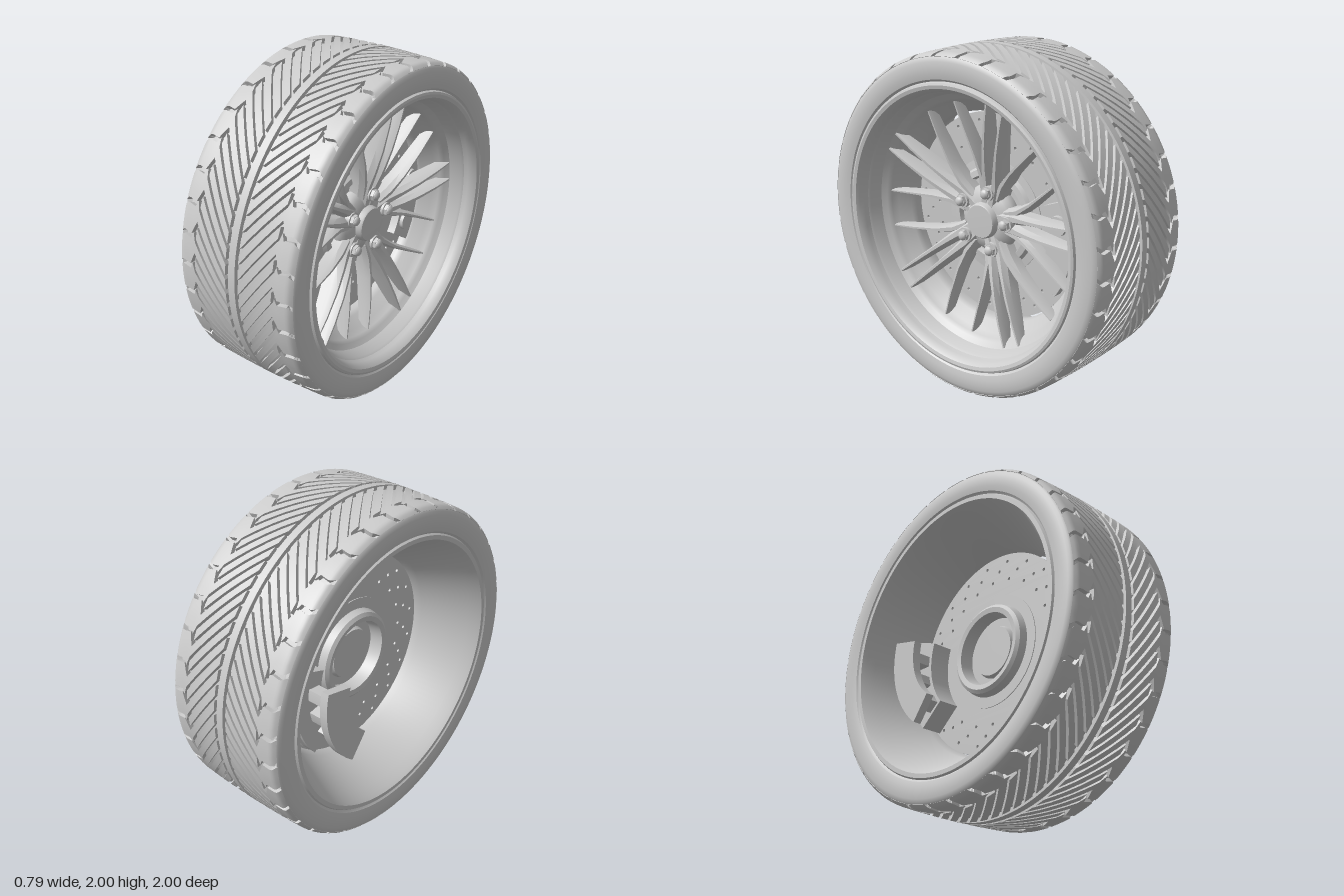
import * as THREE from 'three';
import { mergeGeometries, toCreasedNormals } from 'three/addons/utils/BufferGeometryUtils.js';

const grey = new THREE.MeshStandardMaterial({ color: 0xcccccc, side: THREE.DoubleSide });
const rad = THREE.MathUtils.degToRad;

function part(name, geometry, parent, crease = 0.55) {
  const mesh = new THREE.Mesh(toCreasedNormals(geometry, crease), grey);
  mesh.name = name;
  parent.add(mesh);
  return mesh;
}

// Revolve [radius, x] points around the wheel axis (x)
function revolve(points, segments = 96) {
  const g = new THREE.LatheGeometry(points.map(([r, x]) => new THREE.Vector2(r, x)), segments);
  return g.rotateZ(-Math.PI / 2);
}

// Solid skin through closed rings of equal length, capped at both ends
function loft(rings, flip = false) {
  const pos = [], n = rings[0].length;
  const tri = (a, b, c) => pos.push(...a, ...(flip ? c : b), ...(flip ? b : c));
  for (let i = 0; i < rings.length - 1; i++) {
    for (let j = 0; j < n; j++) {
      const k = (j + 1) % n, p = rings[i], q = rings[i + 1];
      tri(p[j], q[j], q[k]);
      tri(p[j], q[k], p[k]);
    }
  }
  const first = rings[0], last = rings[rings.length - 1];
  for (let j = 1; j < n - 1; j++) {
    tri(first[0], first[j], first[j + 1]);
    tri(last[0], last[j + 1], last[j]);
  }
  const g = new THREE.BufferGeometry();
  g.setAttribute('position', new THREE.Float32BufferAttribute(pos, 3));
  g.computeVertexNormals();
  return g;
}

// Ring sector between two radii and two angles, extruded along x
function sector(r0, r1, a0, a1, x0, x1) {
  const s = new THREE.Shape();
  s.absarc(0, 0, r1, rad(a0), rad(a1), false);
  s.absarc(0, 0, r0, rad(a1), rad(a0), true);
  const g = new THREE.ExtrudeGeometry(s, { depth: x1 - x0, bevelEnabled: false, curveSegments: 20 });
  return g.rotateY(Math.PI / 2).translate(x0, 0, 0);
}

// Tyre cross-section: distance t from the centre line and depth below the tread give [radius, x]
function treadPoint(t, depth) {
  if (t <= 0.34) return [1 - 0.01 * (t / 0.34) ** 2 - depth, t];
  const a = (t - 0.34) / 0.05, r = 0.05 - depth;
  return [0.94 + r * Math.cos(a), 0.34 + r * Math.sin(a)];
}

const DEPTH = 0.028, BLOCKS = 36, PITCH = (Math.PI * 2) / BLOCKS, GAP = 0.027;

// Sweep of a groove around the tyre: diagonal, jog back, then out over the shoulder
function grooveSweep(t) {
  const path = [[0.04, 0], [0.265, 0.31], [0.295, 0.24], [0.35, 0.25], [0.4, 0.215]];
  for (let i = 1; i < path.length; i++) {
    const [t0, s0] = path[i - 1], [t1, s1] = path[i];
    if (t <= t1 || i === path.length - 1) return s0 + ((s1 - s0) * (t - t0)) / (t1 - t0);
  }
}

function treadBlock(stations, low, high, angle, side) {
  const rings = stations.map((t) => {
    const lo = grooveSweep(t) + low(t), hi = grooveSweep(t) + high(t);
    return [[0, 1], [0, 0], [0.33, 0], [0.67, 0], [1, 0], [1, 1]].map(([f, d]) => {
      const [r, x] = treadPoint(t, d * (DEPTH + 0.004));
      const a = angle - (lo + (hi - lo) * f);
      return [side * x, r * Math.cos(a), r * Math.sin(a)];
    });
  });
  return loft(rings, side < 0);
}

function buildTyre(parent) {
  const half = [];
  for (const t of [0.001, 0.1, 0.2, 0.3, 0.34, 0.36, 0.37]) half.push(treadPoint(t, DEPTH));
  half.push([0.968, 0.378], [0.958, 0.386], [0.94, 0.391], [0.91, 0.394], [0.875, 0.393], [0.845, 0.386], [0.83, 0.37], [0.79, 0.35]);
  const mirrored = half.map(([r, x]) => [r, -x]).reverse();
  part('tyreCarcass', revolve([...mirrored, ...half], 144), parent);
  part('tyreCentreRib', revolve([[0.96, -0.022], [1, -0.022], [1, 0.022], [0.96, 0.022]], 144), parent);

  const long = [0.042, 0.1, 0.16, 0.22, 0.265, 0.28, 0.295, 0.34, 0.355, 0.37, 0.388];
  const short = [0.042, 0.1, 0.16, 0.22, 0.26];
  for (const side of [1, -1]) {
    const blocks = [];
    for (let i = 0; i < BLOCKS; i++) {
      const a = i * PITCH;
      blocks.push(treadBlock(long, () => 0, (t) => (t < 0.27 ? PITCH / 2 : PITCH) - GAP, a, side));
      blocks.push(treadBlock(short, () => PITCH / 2, () => PITCH - GAP, a, side));
    }
    part(side > 0 ? 'outerTreadBlocks' : 'innerTreadBlocks', mergeGeometries(blocks), parent, 0.4);
  }
}

// Tapered bar through [y, z, halfWidth, front, back] stations
function spoke(stations) {
  const a = stations[0], b = stations[stations.length - 1];
  const len = Math.hypot(b[0] - a[0], b[1] - a[1]);
  const py = -(b[1] - a[1]) / len, pz = (b[0] - a[0]) / len;
  return loft(stations.map(([y, z, w, front, back]) => {
    const mid = front - (front - back) * 0.35;
    return [[-1, back], [-1, mid], [-0.4, front], [0.4, front], [1, mid], [1, back]]
      .map(([k, x]) => [x, y + py * w * k, z + pz * w * k]);
  }), true);
}

function buildRim(parent) {
  part('rimBarrel', revolve([
    [0.8, -0.385], [0.825, -0.385], [0.835, -0.37], [0.79, -0.34], [0.7, 0], [0.76, 0.3], [0.79, 0.345],
    [0.835, 0.37], [0.828, 0.388], [0.815, 0.393], [0.795, 0.388], [0.782, 0.37], [0.772, 0.34], [0.762, 0.26],
    [0.745, 0.225], [0.715, 0.205], [0.7, 0.18], [0.685, 0.14], [0.632, 0.085], [0.622, 0.05], [0.64, -0.05],
    [0.762, -0.31], [0.785, -0.36], [0.8, -0.385],
  ], 128), parent);

  part('wheelHub', revolve([[0.001, 0.02], [0.19, 0.02], [0.2, 0.05], [0.195, 0.08], [0.17, 0.105], [0.12, 0.125], [0.001, 0.13]], 64), parent, 0.8);
  part('centreCap', revolve([[0.11, 0.1], [0.102, 0.155], [0.096, 0.163], [0.001, 0.165]], 48), parent);

  for (let i = 0; i < 5; i++) {
    const arm = new THREE.Group();
    arm.name = 'spokeArm' + (i + 1);
    arm.rotation.x = rad(-13 + 72 * i);
    for (const s of [1, -1]) {
      part('mainSpoke', spoke([
        [0.09, 0.022 * s, 0.04, 0.125, 0.03], [0.22, 0.034 * s, 0.038, 0.14, 0.04], [0.32, 0.04 * s, 0.027, 0.168, 0.06],
        [0.45, 0.046 * s, 0.02, 0.197, 0.09], [0.6, 0.053 * s, 0.016, 0.218, 0.13], [0.735, 0.059 * s, 0.011, 0.228, 0.17],
      ]), arm, 0.4);
      part('sideSpoke', spoke([
        [0.15, 0.05 * s, 0.03, 0.12, 0.03], [0.25, 0.075 * s, 0.027, 0.135, 0.04], [0.36, 0.134 * s, 0.017, 0.155, 0.06],
        [0.5, 0.229 * s, 0.012, 0.175, 0.09], [0.622, 0.316 * s, 0.009, 0.185, 0.12],
      ]), arm, 0.4);
    }
    // Wheel nut: hexagon, washer and dome
    const nut = new THREE.Group();
    nut.name = 'wheelNut';
    nut.position.set(0.13, 0.176, 0);
    part('nutWasher', new THREE.CylinderGeometry(0.042, 0.046, 0.03, 24).rotateZ(-Math.PI / 2), nut);
    part('nutHexagon', new THREE.CylinderGeometry(0.034, 0.036, 0.07, 6).rotateZ(-Math.PI / 2), nut);
    part('nutDome', new THREE.SphereGeometry(0.029, 16, 8).scale(0.7, 1, 1).translate(0.034, 0, 0), nut);
    arm.add(nut);
    parent.add(arm);
  }
}

function buildBrake(parent) {
  // Drilled disc
  const shape = new THREE.Shape().absarc(0, 0, 0.612, 0, Math.PI * 2, false);
  shape.holes.push(new THREE.Path().absarc(0, 0, 0.33, 0, Math.PI * 2, true));
  for (let i = 0; i < 20; i++) {
    [0.45, 0.51, 0.565].forEach((r, row) => {
      const a = ((i + row * 0.36) / 20) * Math.PI * 2;
      shape.holes.push(new THREE.Path().absarc(r * Math.cos(a), r * Math.sin(a), 0.01, 0, Math.PI * 2, true));
    });
  }
  const disc = new THREE.ExtrudeGeometry(shape, { depth: 0.045, bevelEnabled: false, curveSegments: 40 });
  part('brakeDisc', disc.rotateY(Math.PI / 2).translate(-0.02, 0, -0.008), parent);

  part('discHat', revolve([
    [0.001, -0.03], [0.15, -0.03], [0.16, 0], [0.21, 0], [0.22, -0.08], [0.25, -0.085], [0.27, -0.07], [0.28, -0.025],
    [0.345, -0.025], [0.345, 0.03], [0.3, 0.035], [0.285, 0.055], [0.25, 0.06], [0.24, 0.03], [0.001, 0.03],
  ], 64), parent);

  // Caliper straddling the disc
  const caliper = new THREE.Group();
  caliper.name = 'brakeCaliper';
  part('caliperFront', sector(0.43, 0.6, -36, 22, 0.035, 0.085), caliper);
  part('caliperBridge', sector(0.585, 0.615, -30, 16, -0.14, 0.07), caliper);
  part('caliperBack', sector(0.4, 0.6, -40, 20, -0.16, -0.03), caliper);
  part('caliperBracket', sector(0.36, 0.54, -52, 14, -0.33, -0.28), caliper);
  for (const a of [-34, -14, 4]) part('caliperRib', sector(0.42, 0.5, a - 4, a + 4, -0.29, -0.15), caliper);
  for (const a of [-24, 8]) {
    const boss = new THREE.CylinderGeometry(0.055, 0.06, 0.04, 24).rotateZ(-Math.PI / 2);
    part('caliperPiston', boss.translate(0.085, 0.51 * Math.sin(rad(a)), -0.51 * Math.cos(rad(a))), caliper);
  }
  parent.add(caliper);
}

export function createModel() {
  const wheel = new THREE.Group();
  wheel.name = 'wheel';
  for (const [name, build] of [['tyre', buildTyre], ['rim', buildRim], ['brake', buildBrake]]) {
    const group = new THREE.Group();
    group.name = name;
    build(group);
    group.position.y = 1;
    wheel.add(group);
  }
  return wheel;
}
